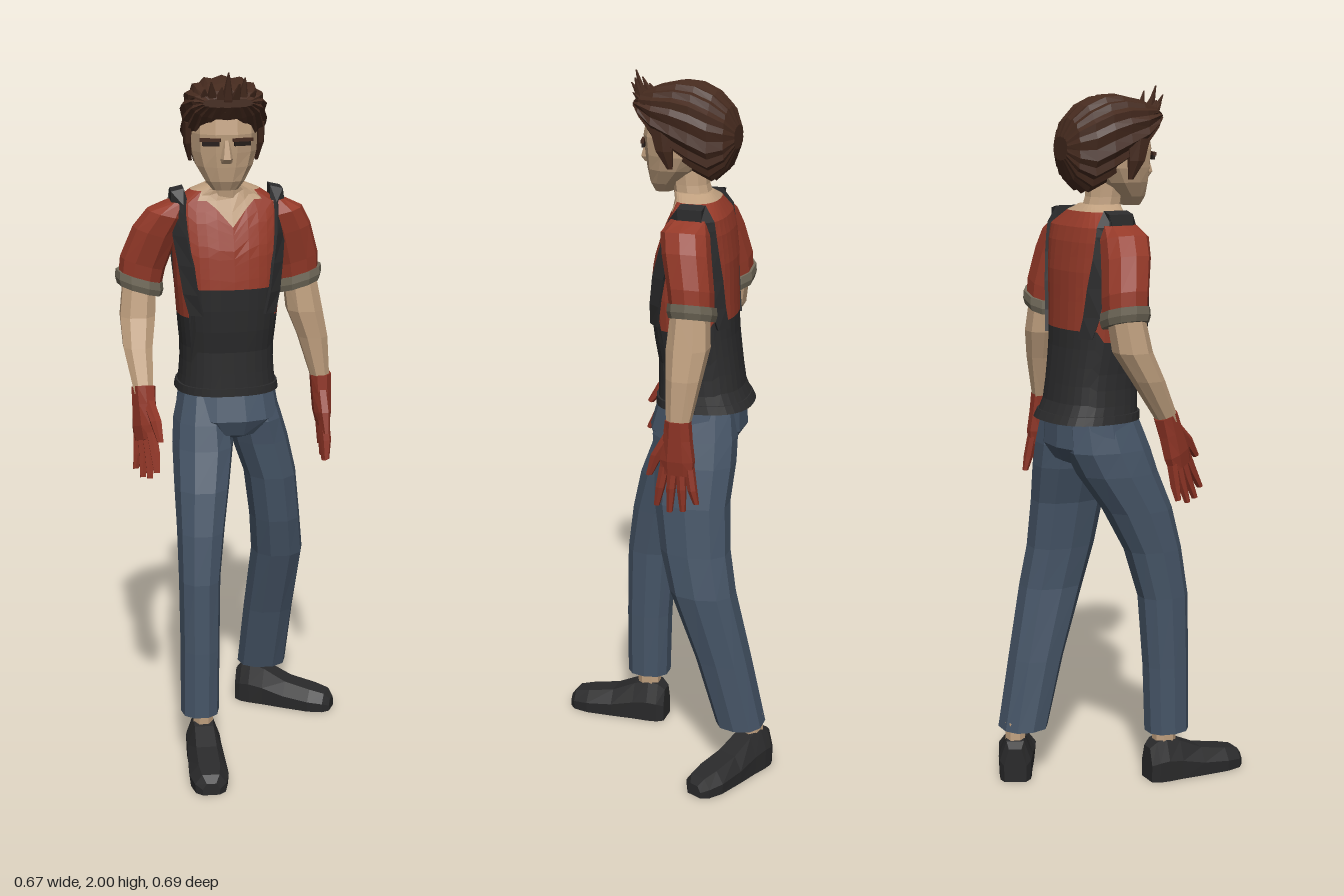
import * as THREE from 'three';

const paint = (name, color) => {
  const m = new THREE.MeshStandardMaterial({ color });
  m.name = name;
  return m;
};
const V = (x, y, z) => new THREE.Vector3(x, y, z);
const { sin, cos, abs, sign, min, PI } = Math;

// Faceted closed skin through a list of point loops, always facing outwards
function loft(rings) {
  const n = rings[0].length, tris = [];
  const mid = r => r.reduce((s, p) => s.add(p), V(0, 0, 0)).divideScalar(n);
  for (let i = 0; i < rings.length - 1; i++) for (let j = 0; j < n; j++) {
    const k = (j + 1) % n, a = rings[i][j], b = rings[i][k], c = rings[i + 1][k], d = rings[i + 1][j];
    tris.push([a, b, c], [a, c, d]);
  }
  const lo = rings[0], hi = rings[rings.length - 1], ml = mid(lo), mh = mid(hi);
  for (let j = 0; j < n; j++) {
    const k = (j + 1) % n;
    tris.push([lo[k], lo[j], ml], [hi[j], hi[k], mh]);
  }
  const volume = tris.reduce((s, [a, b, c]) => s + a.clone().sub(ml).dot(b.clone().sub(ml).cross(c.clone().sub(ml))), 0);
  const pts = tris.flatMap(([a, b, c]) => volume < 0 ? [a, c, b] : [a, b, c]);
  const g = new THREE.BufferGeometry().setFromPoints(pts);
  g.computeVertexNormals();
  return g;
}

// Rounded-square ring point; angle 0 is the front
const oval = (t, rx, rz, e = 0.85) => [rx * sign(sin(t)) * abs(sin(t)) ** e, rz * sign(cos(t)) * abs(cos(t)) ** e];

// Limb from rows [x, y, z, rx, rz, tilt]
function limb(rows, n = 8) {
  return loft(rows.map(([x, y, z, rx, rz, tilt = 0]) => Array.from({ length: n }, (_, j) => {
    const [dx, dz] = oval((j + 0.5) / n * 2 * PI, rx, rz);
    return V(x + dx, y + dx * tilt, z + dz);
  })));
}

// Torso rows [y, cx, cz, rx, rz], turned slightly about the vertical
const TORSO = [
  [1.085, -0.015, -0.11, 0.143, 0.132], [1.12, -0.015, -0.1, 0.137, 0.122], [1.2, -0.015, -0.095, 0.132, 0.115],
  [1.3, -0.015, -0.08, 0.142, 0.118], [1.4, -0.015, -0.075, 0.15, 0.12], [1.5, -0.015, -0.08, 0.155, 0.113],
  [1.58, -0.015, -0.088, 0.16, 0.095], [1.63, -0.015, -0.093, 0.158, 0.077],
  [1.655, -0.02, -0.088, 0.115, 0.064], [1.68, -0.02, -0.07, 0.056, 0.053]];
const YAW = 0.09;

function onTorso(t, y, off = 0) {
  let i = 0;
  while (i < TORSO.length - 2 && y > TORSO[i + 1][0]) i++;
  const a = TORSO[i], b = TORSO[i + 1], f = THREE.MathUtils.clamp((y - a[0]) / (b[0] - a[0]), 0, 1);
  const [, cx, cz, rx, rz] = a.map((v, k) => v + (b[k] - v) * f);
  const [dx, dz] = oval(t, rx + off, rz + off, 0.8);
  return V(cx + dx * cos(YAW) + dz * sin(YAW), y, cz - dx * sin(YAW) + dz * cos(YAW));
}

// Part of the torso between two edges that vary around it
function shell(low, high, rows, off = 0, n = 32) {
  return loft(Array.from({ length: rows + 1 }, (_, i) => Array.from({ length: n }, (_, j) => {
    const t = j / n * 2 * PI, l = low(t);
    return onTorso(t, l + (high(t) - l) * i / rows, off);
  })));
}

export function createModel() {
  const model = new THREE.Group();
  const skin = paint('skin', 0xc0a07f), hair = paint('brown hair', 0x452a1e), red = paint('red shirt', 0x963a29),
    glove = paint('red gloves', 0x8d3425), black = paint('black vest', 0x2c2c2d), denim = paint('blue denim', 0x465567),
    cuffGrey = paint('grey cuff', 0x706959), shoeBlack = paint('black shoes', 0x2a2a2b), dark = paint('dark eyes', 0x241a16);
  const add = (name, geometry, material, parent = model) => {
    const m = new THREE.Mesh(geometry, material);
    m.name = name;
    parent.add(m);
    return m;
  };

  // Vest, shirt and neckline share one torso surface
  const fromFront = t => abs(Math.atan2(sin(t), cos(t)));
  const vestTop = t => { const a = fromFront(t); return a < 0.85 ? 1.395 : a < 2 ? 1.31 : 1.34; };
  const neckline = t => { const a = fromFront(t); return a < 0.1 ? 1.565 : a < 0.25 ? 1.615 : a < 0.6 ? 1.637 : 1.662; };
  add('vest', shell(() => 1.085, vestTop, 5), black);
  add('vestHem', shell(() => 1.082, () => 1.105, 1, 0.006), black);
  add('shirt', shell(vestTop, neckline, 8), red);
  add('neckline', shell(neckline, () => 1.68, 3), skin);

  // Vest straps over the shoulders
  for (const s of [-1, 1]) {
    const ys = [1.32, 1.38, 1.46, 1.54, 1.6, 1.625];
    const section = (y, back) => {
      const d = 0.1 + 0.043 * min(1, (y - 1.32) / 0.26);
      const at = (w, off) => {
        const row = TORSO.findLast(r => r[0] <= y + 1e-6);
        const t = Math.asin(min(0.97, (d + w) / row[3]) ** 1.25);
        return onTorso(s * (back ? PI - t : t), y, off);
      };
      return [at(-0.016, 0.009), at(0.016, 0.009), at(0.016, -0.012), at(-0.016, -0.012)];
    };
    const x = -0.015 + s * 0.141, z = -0.093 - s * 0.013;
    const top = dz => [V(x - s * 0.018, 1.668, z + dz), V(x + s * 0.018, 1.66, z + dz),
      V(x + s * 0.018, 1.62, z + dz), V(x - s * 0.018, 1.63, z + dz)];
    add(s < 0 ? 'rightStrap' : 'leftStrap', loft([...ys.map(y => section(y, false)), top(0.035), top(-0.035),
      ...ys.slice().reverse().map(y => section(y, true))]), black);
  }

  // Neck and head
  add('neck', limb([[-0.022, 1.63, -0.075, 0.056, 0.055], [-0.025, 1.7, -0.06, 0.05, 0.05], [-0.028, 1.78, -0.05, 0.05, 0.055]], 10), skin);
  add('head', limb([
    [-0.03, 1.675, 0.018, 0.036, 0.026], [-0.03, 1.7, 0.012, 0.056, 0.045], [-0.03, 1.74, -0.012, 0.08, 0.076],
    [-0.03, 1.78, -0.028, 0.092, 0.097], [-0.03, 1.83, -0.028, 0.095, 0.102], [-0.03, 1.88, -0.035, 0.092, 0.1],
    [-0.03, 1.93, -0.05, 0.07, 0.08]], 12), skin);
  add('nose', limb([[-0.03, 1.752, 0.064, 0.015, 0.012], [-0.03, 1.765, 0.068, 0.017, 0.02], [-0.03, 1.815, 0.066, 0.008, 0.008]], 6), skin);
  for (const s of [-1, 1]) {
    const eye = add('eye', new THREE.BoxGeometry(0.046, 0.012, 0.008), dark);
    eye.position.set(-0.03 + s * 0.043, 1.806, 0.066);
    const brow = add('eyebrow', new THREE.BoxGeometry(0.058, 0.009, 0.009), hair);
    brow.position.set(-0.03 + s * 0.045, 1.8165, 0.067);
    eye.rotation.y = brow.rotation.y = s * 0.25;
    add('sideburn', limb([[-0.03 + s * 0.092, 1.75, -0.025, 0.005, 0.008], [-0.03 + s * 0.1, 1.8, -0.012, 0.012, 0.026],
      [-0.03 + s * 0.1, 1.86, -0.005, 0.014, 0.036]], 6), hair);
  }

  // Hair swept from front to back in ridged strands: rows [z, half width, bottom, top]
  add('hair', loft([
    [0.088, 0.07, 1.905, 1.93], [0.066, 0.098, 1.872, 1.95], [0.025, 0.114, 1.815, 1.966], [-0.03, 0.118, 1.77, 1.978],
    [-0.08, 0.117, 1.735, 1.975], [-0.13, 0.106, 1.71, 1.953], [-0.17, 0.082, 1.745, 1.915], [-0.192, 0.045, 1.8, 1.865],
  ].map(([z, w, low, top]) => Array.from({ length: 36 }, (_, j) => {
    const k = j % 2 ? 0.94 : 1.01;
    const [dx, dy] = oval(j / 36 * 2 * PI, w * k, (top - low) / 2 * k, 0.8);
    return V(-0.028 + dx, (top + low) / 2 + dy, z);
  }))), hair);
  // Spiky fringe
  const tips = [1.93, 1.955, 1.975, 1.96, 2.0, 1.97, 1.985, 1.95, 1.925];
  tips.forEach((y, i) => {
    const u = i / 4 - 1, x = -0.028 + u * 0.082, z = 0.068 - 0.03 * u * u;
    add('fringeSpike', limb([[x, 1.89, z, 0.014, 0.012], [x, 1.925, z + 0.01, 0.017, 0.014],
      [x + u * 0.01 + (i % 2) * 0.006, y, z + 0.028 + (i % 3) * 0.005, 0.002, 0.002]], 5), hair);
  });

  // Arms: sleeve, rolled cuff, forearm and glove
  const arms = [
    { side: 'right', cuff: [-0.262, -0.113, -0.3],
      sleeve: [[-0.262, 1.385, -0.113, 0.06, 0.058, -0.3], [-0.252, 1.45, -0.108, 0.064, 0.062, -0.3],
        [-0.218, 1.54, -0.088, 0.062, 0.066, -0.3], [-0.185, 1.595, -0.076, 0.056, 0.066, -0.25], [-0.155, 1.63, -0.078, 0.03, 0.05]],
      forearm: [[-0.262, 1.4, -0.112, 0.05, 0.05], [-0.27, 1.3, -0.095, 0.053, 0.053], [-0.273, 1.22, -0.05, 0.044, 0.045],
        [-0.262, 1.1, 0.018, 0.028, 0.031]],
      hand: [-0.262, 1.105, 0.015], turn: [-0.32, 0.5, 0] },
    { side: 'left', cuff: [0.197, -0.132, 0.3],
      sleeve: [[0.197, 1.385, -0.132, 0.06, 0.058, 0.3], [0.19, 1.45, -0.126, 0.063, 0.062, 0.3],
        [0.168, 1.54, -0.107, 0.06, 0.066, 0.3], [0.145, 1.595, -0.096, 0.056, 0.066, 0.25], [0.122, 1.63, -0.098, 0.03, 0.05]],
      forearm: [[0.2, 1.4, -0.128, 0.05, 0.052], [0.216, 1.3, -0.128, 0.054, 0.06], [0.24, 1.22, -0.124, 0.045, 0.05],
        [0.264, 1.09, -0.115, 0.027, 0.033]],
      hand: [0.265, 1.095, -0.115], turn: [0, 0, 0.05] }];
  for (const { side, cuff: [x, z, tilt], sleeve, forearm, hand, turn } of arms) {
    add(side + 'Sleeve', limb(sleeve, 10), red);
    add(side + 'Cuff', limb([[x, 1.372, z, 0.064, 0.062, tilt], [x, 1.39, z, 0.069, 0.067, tilt], [x, 1.412, z, 0.067, 0.065, tilt]], 10), cuffGrey);
    add(side + 'Forearm', limb(forearm), skin);
    const g = new THREE.Group();
    g.name = side + 'Hand';
    g.position.set(...hand);
    g.rotation.set(...turn);
    model.add(g);
    add('palm', limb([[0, 0.012, 0, 0.032, 0.036], [0, -0.04, 0, 0.03, 0.041], [0, -0.1, 0, 0.027, 0.05], [0, -0.14, 0, 0.019, 0.048]]), glove, g);
    [0.22, 0.245, 0.25, 0.235].forEach((len, i) => {
      const fz = -0.035 + i * 0.0235;
      add('finger', limb([[0, -0.12, fz, 0.016, 0.014], [0.003, -0.18, fz * 1.3, 0.015, 0.013], [0, -len, fz * 1.6, 0.009, 0.008]], 6), glove, g);
    });
    add('thumb', limb([[0, -0.03, 0.022, 0.017, 0.02], [0, -0.09, 0.058, 0.017, 0.018], [0, -0.15, 0.08, 0.009, 0.009]], 6), glove, g);
  }

  // Trousers
  add('hips', limb([[0, 0.945, -0.085, 0.04, 0.06], [-0.005, 0.965, -0.085, 0.1, 0.11],
    [-0.013, 1.01, -0.09, 0.152, 0.135], [-0.015, 1.1, -0.1, 0.138, 0.12]], 14), denim);
  add('rightTrouserLeg', limb([[-0.115, 0.15, 0.098, 0.056, 0.064], [-0.113, 0.35, 0.095, 0.057, 0.067], [-0.112, 0.56, 0.085, 0.06, 0.073],
    [-0.105, 0.7, 0.055, 0.069, 0.083], [-0.097, 0.82, 0.01, 0.08, 0.1], [-0.088, 0.93, -0.05, 0.089, 0.117],
    [-0.088, 1.0, -0.08, 0.083, 0.124], [-0.085, 1.08, -0.095, 0.068, 0.108]], 10), denim);
  add('leftTrouserLeg', limb([[0.112, 0.145, -0.26, 0.074, 0.07], [0.126, 0.35, -0.21, 0.075, 0.079], [0.143, 0.56, -0.151, 0.077, 0.094],
    [0.132, 0.68, -0.125, 0.075, 0.1], [0.115, 0.82, -0.11, 0.077, 0.108], [0.083, 0.93, -0.108, 0.084, 0.117],
    [0.066, 1.0, -0.102, 0.08, 0.122], [0.055, 1.08, -0.105, 0.065, 0.108]], 10), denim);

  // Ankles and shoes
  const shoe = loft([[-0.065, 0.033, 0.1], [-0.045, 0.046, 0.118], [-0.015, 0.05, 0.125], [0.03, 0.05, 0.112], [0.1, 0.054, 0.08],
    [0.18, 0.056, 0.065], [0.225, 0.045, 0.055], [0.242, 0.025, 0.035]].map(([z, w, h]) =>
    [[-0.95, 0], [-1, 0.5], [-0.55, 1], [0.55, 1], [1, 0.5], [0.95, 0]].map(([a, b]) => V(a * w, b * h, z))));
  for (const [side, x, z, turn] of [['right', -0.106, 0.105, 0], ['left', 0.105, -0.287, 1.13]]) {
    const g = new THREE.Group();
    g.name = side + 'Foot';
    g.position.set(x, 0, z);
    g.rotation.y = turn;
    model.add(g);
    add('shoe', shoe, shoeBlack, g);
    add('ankle', limb([[0, 0.08, -0.012, 0.03, 0.034], [0, 0.17, -0.008, 0.031, 0.034]]), skin, g);
  }
  return model;
}
